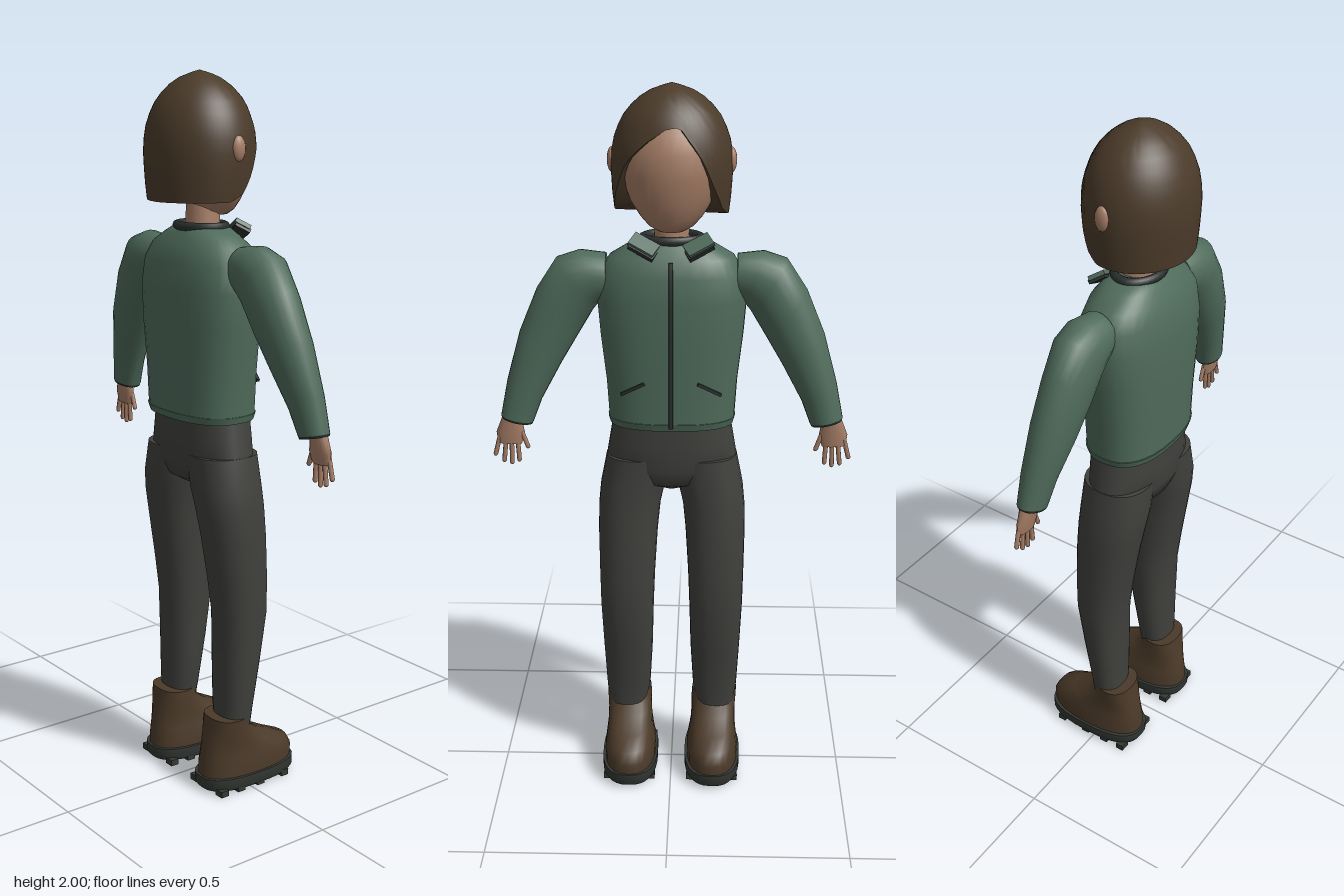
import * as THREE from 'three';
import { toCreasedNormals } from 'three/addons/utils/BufferGeometryUtils.js';

const mat = (name, color) => Object.assign(new THREE.MeshStandardMaterial({ color }), { name });

export function createModel() {
  const model = new THREE.Group();
  const green = mat('jacket green', 0x4f6b5b), dark = mat('dark trim', 0x29302d);
  const grey = mat('trouser grey', 0x40413d), skin = mat('skin', 0xa67e66);
  const brown = mat('hair brown', 0x4b3b2a), leather = mat('boot leather', 0x4b3a29);
  const rubber = mat('sole rubber', 0x343834);

  const add = (name, geometry, material) => {
    const m = new THREE.Mesh(geometry, material);
    m.name = name;
    model.add(m);
    return m;
  };
  const surface = (pos, idx) => {
    const g = new THREE.BufferGeometry();
    g.setAttribute('position', new THREE.Float32BufferAttribute(pos, 3));
    g.setIndex(idx);
    return toCreasedNormals(g, 0.95);
  };

  // Closed loft, bottom to top. Section: [inner x, inner y, outer x, outer y, centre z, half depth].
  // side = -1 mirrors it; power above 2 squares the outline.
  function loft(sections, side = 1, power = 2, n = 24) {
    const pos = [], idx = [];
    const bend = v => Math.sign(v) * Math.abs(v) ** (2 / power);
    for (const [px, py, qx, qy, zc, hd] of sections) {
      for (let j = 0; j < n; j++) {
        const a = (j / n) * Math.PI * 2, c = bend(Math.cos(a)) * side, s = bend(Math.sin(a));
        pos.push(side * ((px + qx) / 2 + c * (qx - px) / 2), (py + qy) / 2 + c * (qy - py) / 2, zc + s * hd);
      }
    }
    const rows = sections.length;
    for (let i = 0; i < rows - 1; i++) {
      for (let j = 0; j < n; j++) {
        const a = i * n + j, b = i * n + (j + 1) % n;
        idx.push(a, a + n, b, b, a + n, b + n);
      }
    }
    for (const [row, top] of [[0, false], [rows - 1, true]]) {
      const [px, py, qx, qy, zc] = sections[row], c = pos.length / 3;
      pos.push(side * (px + qx) / 2, (py + qy) / 2, zc);
      for (let j = 0; j < n; j++) {
        const a = row * n + j, b = row * n + (j + 1) % n;
        top ? idx.push(c, b, a) : idx.push(c, a, b);
      }
    }
    return surface(pos, idx);
  }
  // Level sections: centred [y, half width, z, depth] and sided [y, x0, x1, zFront, zBack]
  const centred = list => list.map(([y, r, z, d]) => [-r, y, r, y, z, d]);
  const sided = list => list.map(([y, a, b, f, k]) => [a, y, b, y, (f + k) / 2, (k - f) / 2]);

  // Jacket body, hem, zip and collar
  const body = [[1.085, .175, .037, .11], [1.2, .182, .037, .112], [1.33, .197, .038, .115],
    [1.43, .205, .038, .114], [1.5, .198, .036, .107], [1.545, .17, .035, .092],
    [1.575, .12, .035, .072], [1.592, .085, .035, .06]];
  add('jacketBody', loft(centred(body), 1, 2.5, 32), green);
  add('jacketHem', loft(centred([[1.075, .172, .037, .107], [1.095, .178, .037, .113]]), 1, 2.5, 32), green);
  add('zip', loft(body.slice(0, 6).map(([y, , z, d]) => [-.006, y, .006, y, z - d, .007]), 1, 4, 8), dark);
  const collar = add('collarRing', new THREE.TorusGeometry(.077, .013, 8, 32), dark);
  collar.rotation.x = Math.PI / 2;
  collar.scale.y = .78;
  collar.position.set(0, 1.593, .035);

  for (const s of [1, -1]) {
    const sideName = s > 0 ? 'left' : 'right';

    // Collar flap with a dark edge beneath
    for (const [name, drop, m] of [['CollarFlap', 0, green], ['CollarFlapEdge', .01, dark]]) {
      const flap = add(sideName + name, new THREE.BoxGeometry(.075, .012, .045), m);
      flap.position.set(s * .073, 1.587 - drop, -.035);
      flap.rotation.set(-.55, s * -.45, s * .25);
    }
    // Slanted pocket opening
    const pocket = add(sideName + 'Pocket', new THREE.BoxGeometry(.075, .009, .009), dark);
    pocket.position.set(s * .105, 1.195, -.065);
    pocket.rotation.set(0, s * -.28, s * -.5);

    // Sleeve and cuff
    add(sideName + 'Sleeve', loft([
      [.385, 1.08, .475, 1.1, -.005, .038], [.36, 1.145, .455, 1.2, .003, .045],
      [.305, 1.245, .418, 1.335, .018, .058], [.26, 1.32, .368, 1.455, .027, .064],
      [.215, 1.395, .312, 1.54, .03, .068], [.195, 1.42, .25, 1.56, .03, .066],
      [.175, 1.43, .178, 1.552, .03, .055]], s), green);
    add(sideName + 'Cuff', loft([[.388, 1.074, .474, 1.093, -.005, .036],
      [.386, 1.081, .475, 1.1, -.005, .038]], s), dark);

    // Hand: palm and fanned fingers
    add(sideName + 'Palm', loft([[.42, 1.015, .486, 1.018, -.012, .011],
      [.41, 1.045, .49, 1.05, -.01, .016], [.42, 1.1, .468, 1.105, -.007, .02]], s, 2, 14), skin);
    const fingers = [[.418, 1.05, .402, 1.005], [.431, 1.025, .428, .965], [.448, 1.025, .449, .957],
      [.464, 1.025, .471, .963], [.48, 1.04, .495, .982]];
    for (const [x0, y0, x1, y1] of fingers) {
      const f = add(sideName + 'Finger', new THREE.CapsuleGeometry(.0065, Math.hypot(x1 - x0, y1 - y0) - .005, 3, 8), skin);
      f.position.set(s * (x0 + x1) / 2, (y0 + y1) / 2, -.013);
      f.rotation.z = Math.atan2(s * (x1 - x0), y0 - y1);
    }

    // Trouser leg
    add(sideName + 'TrouserLeg', loft(sided([
      [.17, .08, .182, -.02, .07], [.24, .064, .193, -.025, .07], [.38, .056, .2, -.05, .072],
      [.52, .052, .206, -.072, .075], [.62, .048, .208, -.074, .088], [.75, .04, .21, -.07, .108],
      [.83, .032, .208, -.066, .122], [.89, .018, .202, -.063, .13], [.98, 0, .184, -.06, .128]]), s, 2.3), grey);

    // Boot with sole and lugs
    add(sideName + 'Boot', loft(sided([
      [.04, .047, .197, -.18, .126], [.075, .047, .197, -.183, .125], [.105, .053, .193, -.165, .121],
      [.13, .058, .19, -.11, .116], [.16, .06, .19, -.05, .11], [.19, .06, .193, -.015, .104],
      [.218, .062, .194, -.005, .1]]), s, 2.4), leather);
    add(sideName + 'Sole', loft(sided([
      [.008, .046, .198, -.178, .126], [.018, .04, .204, -.185, .132],
      [.045, .04, .204, -.185, .132]]), s, 2.6, 32), rubber);
    for (const z of [-.12, -.03, .04, .1]) {
      for (const x of [.062, .182]) {
        const lug = add(sideName + 'SoleLug', new THREE.BoxGeometry(.03, .018, .025), rubber);
        lug.position.set(s * x, .009, z);
      }
    }

    // Ear
    const ear = add(sideName + 'Ear', new THREE.SphereGeometry(1, 16, 12), skin);
    ear.scale.set(.014, .034, .021);
    ear.position.set(s * .158, 1.802, .032);
  }

  // Trouser seat
  add('trouserSeat', loft(centred([[.885, .03, .033, .05], [.905, .1, .033, .085], [.95, .188, .034, .096],
    [1.02, .176, .033, .097], [1.095, .163, .033, .096]]), 1, 2.3, 32), grey);

  // Neck and head
  add('neck', new THREE.CylinderGeometry(.043, .05, .11, 24).translate(0, 1.62, .03), skin);
  add('head', loft(centred([[1.622, .035, -.01, .035], [1.635, .06, -.003, .057], [1.66, .083, .003, .077],
    [1.7, .11, .01, .099], [1.77, .134, .015, .115], [1.83, .138, .02, .119],
    [1.88, .125, .03, .11], [1.93, .09, .035, .08]]), 1, 2, 32), skin);

  // Hair: dome whose lower edge follows an off-centre parting
  const lerp = (table, v) => {
    const i = Math.max(1, table.findIndex(p => p[0] >= v));
    const [a, b] = [table[i - 1], table[i]];
    return a[1] + (b[1] - a[1]) * (v - a[0]) / (b[0] - a[0]);
  };
  const hairline = [[-180, 1.662], [-75, 1.664], [-60, 1.685], [-45, 1.74], [-28, 1.83], [-10, 1.9],
    [5, 1.895], [25, 1.86], [45, 1.81], [62, 1.74], [78, 1.685], [95, 1.665], [180, 1.662]];
  const profile = [[1.65, .151], [1.72, .159], [1.8, .163], [1.85, .157], [1.9, .139],
    [1.93, .121], [1.96, .091], [1.98, .06], [1.99, .036], [2, 0]];
  const pos = [], idx = [], cols = 60, rows = 12;
  for (let i = 0; i <= rows + 1; i++) {
    for (let j = 0; j < cols; j++) {
      const deg = -180 + j * 360 / cols, phi = deg * Math.PI / 180;
      const t = Math.min(i, rows) / rows, y = 2 - (2 - lerp(hairline, deg)) * t ** 1.6;
      const r = lerp(profile, y) * (i > rows ? .6 : 1);
      pos.push(r * Math.sin(phi), y, .04 - r * .89 * Math.cos(phi));
      if (i > rows) continue;
      const a = i * cols + j, b = i * cols + (j + 1) % cols;
      if (i > 0) idx.push(a, b, a + cols);
      idx.push(b, b + cols, a + cols);
    }
  }
  add('hair', surface(pos, idx), brown);

  return model;
}
